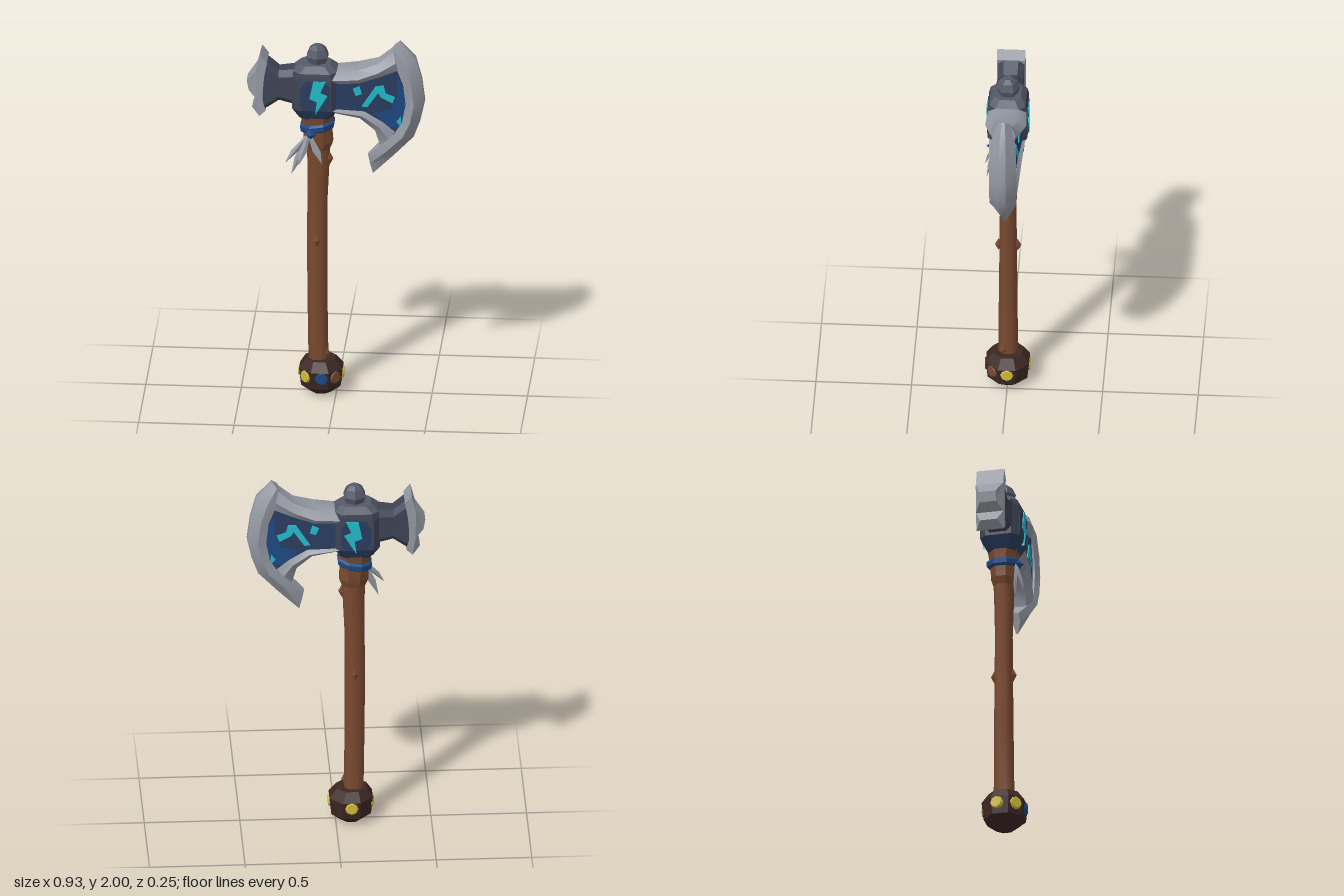
import * as THREE from 'three';
import { toCreasedNormals } from 'three/addons/utils/BufferGeometryUtils.js';

const mat = (name, color) => {
  const m = new THREE.MeshStandardMaterial({ color });
  m.name = name;
  return m;
};

export function createModel() {
  const steel = mat('steel grey', 0x9599a3);
  const slate = mat('slate', 0x565a69);
  const darkSlate = mat('dark slate', 0x3f4355);
  const navy = mat('navy', 0x2a3d60);
  const blue = mat('blue', 0x1d4a85);
  const cyan = mat('cyan glow', 0x22bccb);
  const wood = mat('wood brown', 0x7a4a2f);
  const dark = mat('dark brown', 0x3b2723);
  const gold = mat('gold', 0xcfbd3a);

  const model = new THREE.Group();
  model.name = 'battleAxe';
  const add = (name, geometry, material, parent = model) => {
    const mesh = new THREE.Mesh(geometry, material);
    mesh.name = name;
    parent.add(mesh);
    return mesh;
  };

  // Skin a list of equal-length rings of [x, y, z], cap both ends, turn faces outwards
  const loft = (rings, crease = 0.3) => {
    const n = rings[0].length, pos = rings.flat(2), idx = [];
    const v = i => new THREE.Vector3().fromArray(pos, i * 3);
    for (let r = 0; r < rings.length - 1; r++)
      for (let i = 0; i < n; i++) {
        const a = r * n + i, b = r * n + (i + 1) % n;
        idx.push(a, b, b + n, a, b + n, a + n);
      }
    const last = (rings.length - 1) * n;
    for (let i = 1; i < n - 1; i++) idx.push(0, i + 1, i, last, last + i, last + i + 1);
    let volume = 0;
    for (let i = 0; i < idx.length; i += 3)
      volume += v(idx[i]).dot(v(idx[i + 1]).cross(v(idx[i + 2])));
    if (volume < 0) idx.reverse();
    const g = new THREE.BufferGeometry();
    g.setAttribute('position', new THREE.Float32BufferAttribute(pos, 3));
    g.setIndex(idx);
    return toCreasedNormals(g, crease);
  };

  // Upright round loft from rows of [y, centreX, radiusX, radiusZ, tilt]
  const column = (rows, sides = 8, crease = 0.3) => loft(rows.map(([y, cx, rx, rz = rx, tilt = 0]) =>
    Array.from({ length: sides }, (_, i) => {
      const a = (i + 0.5) / sides * Math.PI * 2;
      return [cx + rx * Math.cos(a), y + tilt * Math.cos(a), rz * Math.sin(a)];
    })), crease);

  // Rectangle with cut corners
  const cutRect = (w, h, c) => [[w, -h + c], [w, h - c], [w - c, h], [-w + c, h],
    [-w, h - c], [-w, -h + c], [-w + c, -h], [w - c, -h]];

  // Outline in the xy plane, filled symmetrically to a half thickness given by x
  const prism = (points, half) => {
    const g = new THREE.ExtrudeGeometry(new THREE.Shape(points.map(p => new THREE.Vector2(...p))),
      { depth: 1, bevelEnabled: false });
    const p = g.attributes.position;
    for (let i = 0; i < p.count; i++) p.setZ(i, (p.getZ(i) > 0.5 ? 1 : -1) * half(p.getX(i)));
    g.computeVertexNormals();
    return g;
  };

  // Band from rows of [outerX, outerY, innerX, innerY, half thickness]
  const band = (rows, edge) => loft(rows.map(([ox, oy, ix, iy, t]) => {
    const mx = ox * 0.45 + ix * 0.55, my = oy * 0.45 + iy * 0.55;
    return [[ox, oy, t * edge], [mx, my, t], [ix, iy, t * 0.75],
      [ix, iy, -t * 0.75], [mx, my, -t], [ox, oy, -t * edge]];
  }), 0.7);

  // Handle with splinters
  add('handle', column([[0.16, -0.095, 0.055], [0.5, -0.1, 0.055, 0.052], [0.87, -0.102, 0.057, 0.048],
    [1.1, -0.1, 0.056, 0.046], [1.32, -0.095, 0.062, 0.052], [1.45, -0.095, 0.068, 0.058]], 8, 0.9), wood);
  const splinters = [[-0.05, 0.22, 0.02], [-0.1, 0.87, 0.05], [-0.1, 0.87, -0.05], [-0.035, 1.33, 0.02]];
  for (const [x, y, z] of splinters) add('splinter', new THREE.OctahedronGeometry(0.024).scale(0.8, 1.6, 0.8).translate(x, y, z), wood);

  // Collar and strap below the head
  add('collar', column([[1.38, -0.095, 0.064, 0.054], [1.42, -0.095, 0.082, 0.068],
    [1.5, -0.1, 0.08, 0.07], [1.58, -0.1, 0.095, 0.085]]), wood);
  add('strap', column([[1.49, -0.1, 0.085, 0.078, 0.014], [1.5, -0.1, 0.094, 0.09, 0.014],
    [1.525, -0.1, 0.097, 0.092, 0.014], [1.535, -0.1, 0.088, 0.08, 0.014]]), blue);
  add('strapKnot', new THREE.OctahedronGeometry(0.03).translate(-0.13, 1.49, 0.085), blue);

  // Hanging feathers
  const feathers = new THREE.Group();
  feathers.name = 'feathers';
  model.add(feathers);
  const root = [-0.14, 1.49, 0.075];
  const tips = [[-0.23, 1.265, 0.09], [-0.26, 1.335, 0.105], [-0.19, 1.33, 0.125], [-0.07, 1.335, 0.11]];
  for (const tip of tips) {
    const at = (t, w, d) => {
      const c = root.map((r, i) => r + (tip[i] - r) * t);
      return [[c[0] + w, c[1], c[2]], [c[0], c[1], c[2] + d], [c[0] - w, c[1], c[2]], [c[0], c[1], c[2] - d]];
    };
    add('feather', loft([at(0, 0.008, 0.006), at(0.6, 0.021, 0.01), at(1, 0.001, 0.001)]), steel, feathers);
  }

  // Pommel with studs
  add('pommel', column([[0, -0.08, 0.055], [0.045, -0.08, 0.112], [0.14, -0.08, 0.123], [0.19, -0.085, 0.085]]), dark);
  const studs = [[0, gold], [135, gold], [190, gold], [270, gold], [85, blue], [45, wood]];
  for (const [deg, material] of studs) {
    const stud = add('pommelStud', new THREE.CylinderGeometry(0.03, 0.043, 0.022, 8).rotateX(Math.PI / 2), material);
    const a = deg * Math.PI / 180;
    stud.position.set(-0.08 + 0.108 * Math.cos(a), 0.108, 0.108 * Math.sin(a));
    stud.rotation.y = Math.PI / 2 - a;
  }

  // Head block
  const block = rows => loft(rows.map(([y, w, d, c]) => cutRect(w, d, c).map(([x, z]) => [x - 0.108, y, z])));
  add('headBase', block([[1.57, 0.085, 0.075, 0.03], [1.63, 0.122, 0.104, 0.035]]), navy);
  add('headBlock', block([[1.63, 0.122, 0.104, 0.035], [1.8, 0.122, 0.104, 0.035], [1.835, 0.115, 0.095, 0.035]]), darkSlate);
  add('headTop', block([[1.835, 0.115, 0.095, 0.035], [1.87, 0.078, 0.07, 0.03]]), slate);
  add('headPanel', prism([[-0.18, 1.65], [-0.15, 1.63], [-0.055, 1.63], [-0.025, 1.66], [-0.025, 1.76],
    [-0.06, 1.8], [-0.15, 1.8], [-0.185, 1.75]], () => 0.107), navy);
  add('lightningRune', prism([[-0.115, 1.8], [-0.05, 1.8], [-0.078, 1.735], [-0.04, 1.72], [-0.105, 1.61],
    [-0.096, 1.685], [-0.135, 1.7]], () => 0.111), cyan);
  add('topKnob', column([[1.85, -0.1, 0.045], [1.905, -0.1, 0.065], [1.945, -0.1, 0.048], [1.965, -0.1, 0.025]], 6), slate);

  // Hammer side
  const hammerRows = [[-0.2, 1.74, 0.1, 0.078], [-0.3, 1.745, 0.085, 0.066], [-0.38, 1.75, 0.145, 0.07]];
  add('hammerNeck', loft(hammerRows.map(([x, cy, h, d]) =>
    cutRect(h, d, 0.03).map(([y, z]) => [x, cy + y, z]))), darkSlate);
  add('hammerCap', prism([[-0.36, 1.88], [-0.395, 1.925], [-0.418, 1.835], [-0.468, 1.77], [-0.458, 1.715],
    [-0.415, 1.675], [-0.44, 1.62], [-0.4, 1.58], [-0.368, 1.61], [-0.385, 1.68], [-0.375, 1.8]],
  x => (x < -0.43 ? 0.045 : 0.074)), steel);

  // Blade panel, tapering towards the cutting edge
  const taper = x => 0.08 - 0.11 * x;
  add('bladePanel', prism([[-0.03, 1.63], [0.12, 1.6], [0.22, 1.54], [0.26, 1.46], [0.33, 1.48], [0.385, 1.58],
    [0.4, 1.68], [0.385, 1.78], [0.35, 1.88], [0.22, 1.85], [0.1, 1.81], [-0.03, 1.8]], taper), navy);
  add('bladeBlue', prism([[0.32, 1.82], [0.37, 1.69], [0.345, 1.53], [0.27, 1.53], [0.2, 1.61], [0.29, 1.63],
    [0.32, 1.7]], x => taper(x) + 0.002), blue);

  // Glowing blade runes
  const runes = [
    [[0.135, 1.65], [0.21, 1.765], [0.25, 1.765], [0.262, 1.72], [0.31, 1.7], [0.296, 1.665], [0.235, 1.7],
      [0.222, 1.725], [0.165, 1.645]],
    [[0.09, 1.75], [0.125, 1.765], [0.137, 1.72], [0.105, 1.71]],
    [[0.315, 1.56], [0.34, 1.59], [0.342, 1.53]]];
  for (const r of runes) add('bladeRune', prism(r, x => taper(x) + 0.005), cyan);

  // Steel rims around the blade
  add('cuttingEdge', band([[0.335, 2, 0.285, 1.945, 0.035], [0.415, 1.91, 0.315, 1.865, 0.064],
    [0.447, 1.79, 0.352, 1.77, 0.07], [0.463, 1.665, 0.365, 1.66, 0.072], [0.44, 1.56, 0.345, 1.555, 0.072],
    [0.405, 1.465, 0.305, 1.49, 0.07], [0.3, 1.355, 0.235, 1.42, 0.055], [0.19, 1.245, 0.165, 1.355, 0.02]], 0.25), steel);
  add('upperRim', band([[-0.02, 1.835, -0.02, 1.775, 0.1], [0.11, 1.85, 0.12, 1.785, 0.108],
    [0.22, 1.885, 0.23, 1.815, 0.08], [0.3, 1.955, 0.325, 1.85, 0.062]], 0.6), steel);
  add('lowerRim', band([[-0.02, 1.605, -0.02, 1.645, 0.095], [0.125, 1.575, 0.15, 1.62, 0.085],
    [0.205, 1.505, 0.25, 1.555, 0.075], [0.23, 1.42, 0.31, 1.5, 0.065]], 0.6), steel);

  return model;
}
